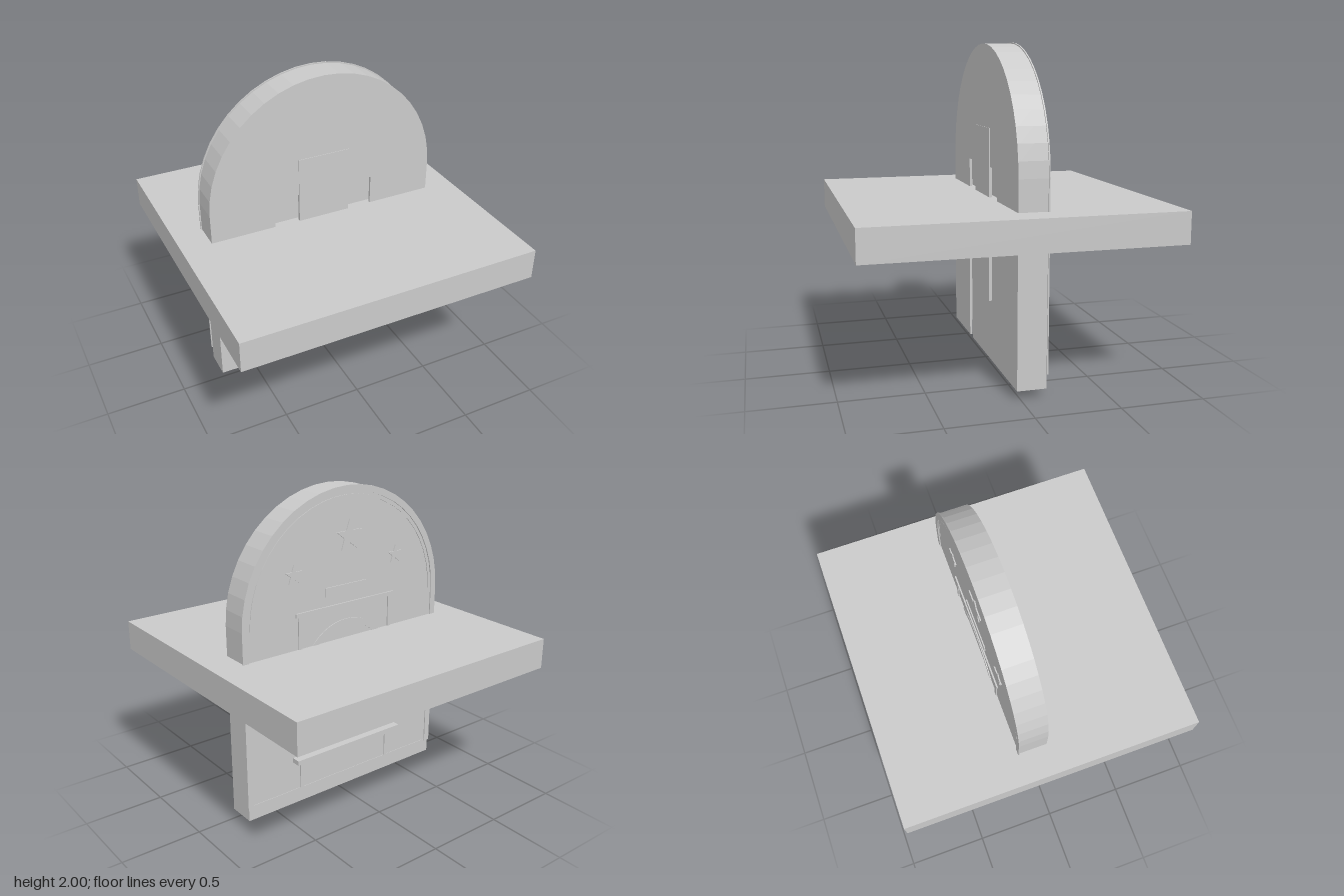
import * as THREE from 'three';

const SPRING = 1.255; // height where the big arch begins

export function createModel() {
  const model = new THREE.Group();
  const grey = new THREE.MeshStandardMaterial({ color: 0xcacaca });
  grey.name = 'light grey';

  const add = (name, geometry) => {
    const mesh = new THREE.Mesh(geometry, grey);
    mesh.name = name;
    model.add(mesh);
    return mesh;
  };
  // Box given by its limits on each axis
  const box = (name, x0, x1, y0, y1, z0, z1) =>
    add(name, new THREE.BoxGeometry(x1 - x0, y1 - y0, z1 - z0))
      .position.set((x0 + x1) / 2, (y0 + y1) / 2, (z0 + z1) / 2);
  // Flat outline pushed out between two depths
  const slab = (name, shape, z0, z1) =>
    add(name, new THREE.ExtrudeGeometry(shape, { depth: z1 - z0, bevelEnabled: false, curveSegments: 12 }))
      .position.z = z0;

  // Round-headed panel, and a round-headed band of the same kind
  const archPanel = (r, base, spring) => {
    const s = new THREE.Shape();
    s.moveTo(-r, base);
    s.lineTo(r, base);
    s.lineTo(r, spring);
    s.absarc(0, spring, r, 0, Math.PI, false);
    s.closePath();
    return s;
  };
  const archBand = (outer, inner, base, spring) => {
    const s = new THREE.Shape();
    s.moveTo(inner, base);
    s.lineTo(outer, base);
    s.lineTo(outer, spring);
    s.absarc(0, spring, outer, 0, Math.PI, false);
    s.lineTo(-outer, base);
    s.lineTo(-inner, base);
    s.lineTo(-inner, spring);
    s.absarc(0, spring, inner, Math.PI, 0, true);
    s.closePath();
    return s;
  };
  const star = (cx, cy, r) => {
    const s = new THREE.Shape();
    for (let i = 0; i < 10; i++) {
      const a = Math.PI / 2 + i * Math.PI / 5;
      const d = i % 2 ? r * 0.4 : r;
      s[i ? 'lineTo' : 'moveTo'](cx + d * Math.cos(a), cy + d * Math.sin(a));
    }
    s.closePath();
    return s;
  };

  // Horizontal square plate
  box('crossPlate', -0.925, 0.925, 0.88, 1.07, -0.925, 0.925);

  // Hollow upright body: back wall, rim and front sheet with a doorway
  slab('backWall', archPanel(0.738, 0.05, SPRING), -0.155, -0.08);
  slab('rim', archBand(0.738, 0.722, 0.05, SPRING), -0.08, 0.005);
  const front = new THREE.Shape();
  front.moveTo(-0.738, 0.05);
  front.lineTo(-0.328, 0.05);
  front.lineTo(-0.328, 1.255);
  front.lineTo(0.323, 1.255);
  front.lineTo(0.323, 0.05);
  front.lineTo(0.738, 0.05);
  front.lineTo(0.738, SPRING);
  front.absarc(0, SPRING, 0.738, 0, Math.PI, false);
  front.closePath();
  slab('frontSheet', front, 0.005, 0.02);

  // Recessed door leaf and the raised strip hanging over it
  box('doorLeaf', -0.4, 0.39, 0, 1.3, -0.03, -0.018);
  box('centreStrip', -0.168, 0.165, 0.42, 1.49, 0.005, 0.024);

  // Back trim around the edge
  slab('edgeTrim', archBand(0.745, 0.705, 0.135, SPRING), -0.162, -0.154);
  slab('innerTrim', archBand(0.69, 0.68, SPRING, SPRING + 0.001), -0.159, -0.154);
  box('baseLine', -0.705, 0.705, 0.135, 0.147, -0.158, -0.154);

  // Back doorway: jambs, lintel, small arch and sill
  for (const side of [-1, 1]) {
    const x = side * 0.345;
    box('jamb', x - 0.012, x + 0.012, 0.147, 1.27, -0.162, -0.154);
  }
  box('lintel', -0.375, 0.375, 1.27, 1.295, -0.164, -0.154);
  slab('smallArch', archBand(0.33, 0.295, 0.385, 0.86), -0.16, -0.154);
  box('sill', -0.41, 0.41, 0.34, 0.37, -0.212, -0.154);

  // Plaque and stars above the doorway
  box('plaque', -0.16, 0.16, 1.355, 1.41, -0.162, -0.154);
  slab('largeStar', star(-0.02, 1.7, 0.1), -0.162, -0.154);
  for (const side of [-1, 1]) {
    slab('smallStar', star(side * 0.385, 1.53, 0.06), -0.162, -0.154);
  }
  return model;
}
